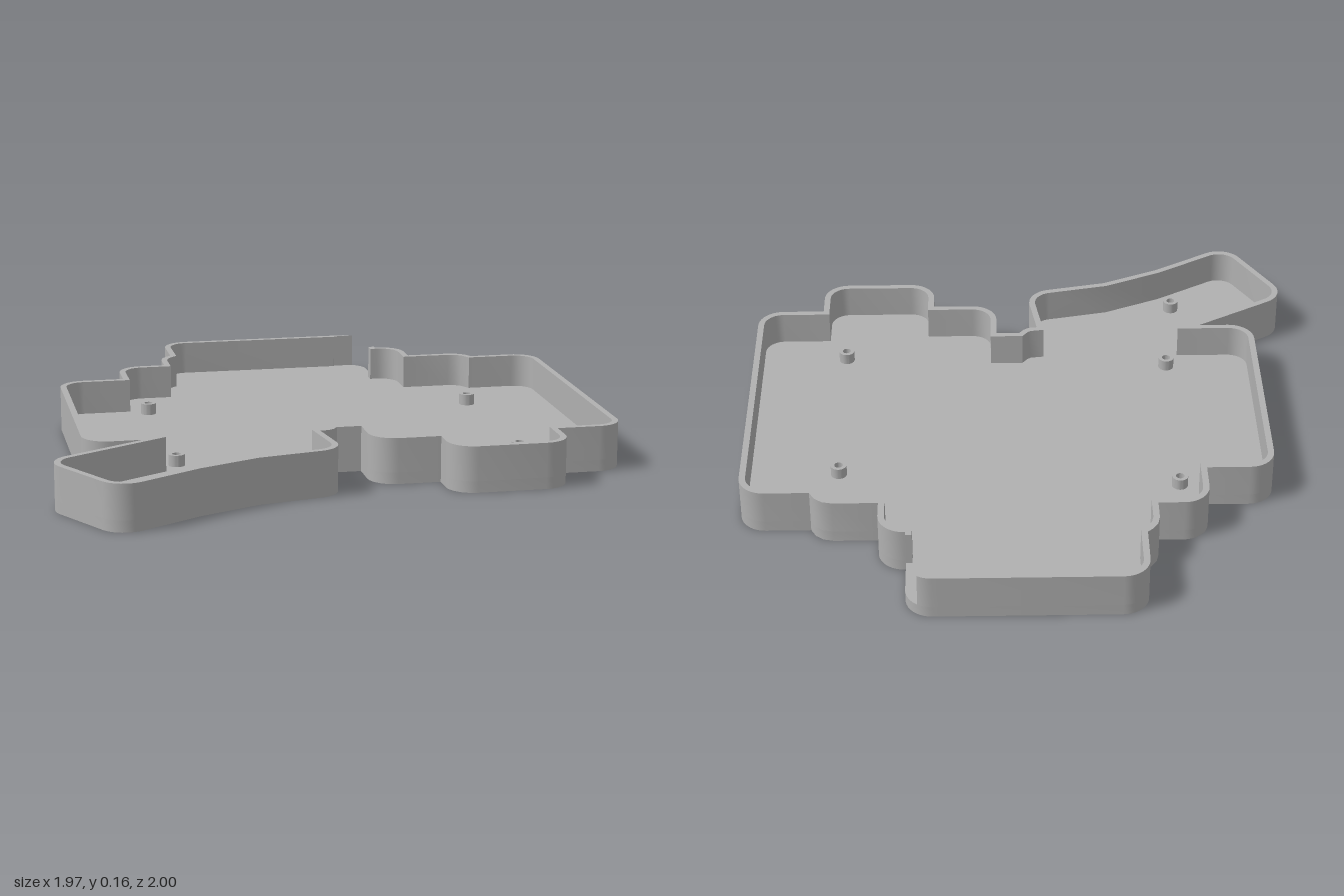
import * as THREE from 'three';
import { toCreasedNormals } from 'three/addons/utils/BufferGeometryUtils.js';

const FLOOR = 0.04, HEIGHT = 0.16, WALL = 0.022, R = 0.09;

// Plan outline corners [x, z, fillet radius], starting below the port opening
const CORNERS = [
  [0.405, -0.77], [0.405, -0.755], [0.5, -0.755, R], [0.5, -0.595],
  [0.655, -0.595], [0.69, -0.587], [0.717, -0.567], [0.735, -0.535],
  [0.98, -0.535, R], [0.98, 0.595, R], [0.74, 0.595], [0.74, 0.775, R],
  [0.325, 0.775, R], [0.325, 0.62], [0.09, 0.62, R], [0.09, 0.435],
  [0.005, 0.435], [-0.01, 0.455], [-0.03, 0.468], [-0.06, 0.472],
  // angled thumb section
  [-0.024, 0.713, R], [-0.325, 0.775], [-0.53, 0.865], [-0.813, 1.033, R],
  [-1.018, 0.677, R], [-0.668, 0.475],
  // left and back edges
  [-0.865, 0.475, R], [-0.865, -0.415, R], [-0.625, -0.415], [-0.625, -0.61, R],
  [-0.445, -0.61], [-0.445, -0.69], [-0.437, -0.725], [-0.42, -0.75],
  [-0.4, -0.768], [-0.4, -1, R], [0.288, -1], [0.29, -1], [0.405, -1, R],
];

const V = (x, z) => new THREE.Vector2(x, z);

// Replace each corner that has a radius by a tangent arc
function roundOutline(corners, steps = 10) {
  const out = [];
  corners.forEach(([x, z, r], i) => {
    const p = V(x, z);
    if (!r) return out.push(p);
    const n = corners.length;
    const a = V(...corners[(i + n - 1) % n]).sub(p).normalize();
    const b = V(...corners[(i + 1) % n]).sub(p).normalize();
    const half = Math.acos(a.dot(b)) / 2;
    const centre = a.clone().add(b).normalize().multiplyScalar(r / Math.sin(half)).add(p);
    const d = r / Math.tan(half);
    const s = a.multiplyScalar(d).add(p).sub(centre).angle();
    let sweep = b.multiplyScalar(d).add(p).sub(centre).angle() - s;
    if (sweep > Math.PI) sweep -= 2 * Math.PI;
    if (sweep < -Math.PI) sweep += 2 * Math.PI;
    for (let k = 0; k <= steps; k++) {
      const t = s + (sweep * k) / steps;
      out.push(V(centre.x + r * Math.cos(t), centre.y + r * Math.sin(t)));
    }
  });
  return out;
}

// Mitred inward offset of an open run of points
function offsetInward(pts, dist) {
  const normal = (a, b) => V(a.y - b.y, b.x - a.x).normalize();
  return pts.map((p, i) => {
    const n1 = i > 0 ? normal(pts[i - 1], p) : normal(p, pts[1]);
    const n2 = i < pts.length - 1 ? normal(p, pts[i + 1]) : n1;
    const m = n1.clone().add(n2);
    return m.multiplyScalar((2 * dist) / m.lengthSq()).add(p);
  });
}

// Extrude a plan shape upward between two heights
function slab(shape, y0, y1) {
  const g = new THREE.ExtrudeGeometry(shape, { depth: y1 - y0, bevelEnabled: false, curveSegments: 12 });
  g.rotateX(-Math.PI / 2).translate(0, y0, 0);
  return toCreasedNormals(g, 0.45);
}

const planShape = (pts) => new THREE.Shape(pts.map((p) => V(p.x, -p.y)));
const hole = (x, z, r) => new THREE.Path().absarc(x, -z, r, 0, Math.PI * 2, true);

export function createModel() {
  const group = new THREE.Group();
  const grey = new THREE.MeshStandardMaterial({ color: 0xb0b0b0 });
  grey.name = 'plainGrey';
  const add = (name, geometry) => {
    const mesh = new THREE.Mesh(geometry, grey);
    mesh.name = name;
    group.add(mesh);
  };

  const outline = roundOutline(CORNERS);
  const screws = [[-0.54, -0.355], [0.65, -0.27], [-0.54, 0.38], [0.65, 0.445], [-0.583, 0.77]];

  // Floor plate with screw holes
  const floor = planShape(outline);
  screws.forEach(([x, z]) => floor.holes.push(hole(x, z, 0.015)));
  add('floorPlate', slab(floor, 0, FLOOR));

  // Perimeter wall, thinned and left open at the port in the back corner
  const isPort = (p) => p.x > 0.289 && p.y < -0.8;
  const outer = outline.filter((p) => !isPort(p) || (p.y < -0.986 && p.x < 0.36));
  const inner = offsetInward(outer, WALL).map((q, i) => (isPort(outer[i]) ? V(outer[i].x, -0.985) : q));
  add('perimeterWall', slab(planShape([...outer, V(0.364, -0.985), ...inner.reverse()]), FLOOR, HEIGHT));

  // Hollow screw posts
  screws.forEach(([x, z]) => {
    const post = new THREE.Shape().absarc(x, -z, 0.028, 0, Math.PI * 2, false);
    post.holes.push(hole(x, z, 0.015));
    add('screwPost', slab(post, FLOOR, 0.08));
  });
  return group;
}
